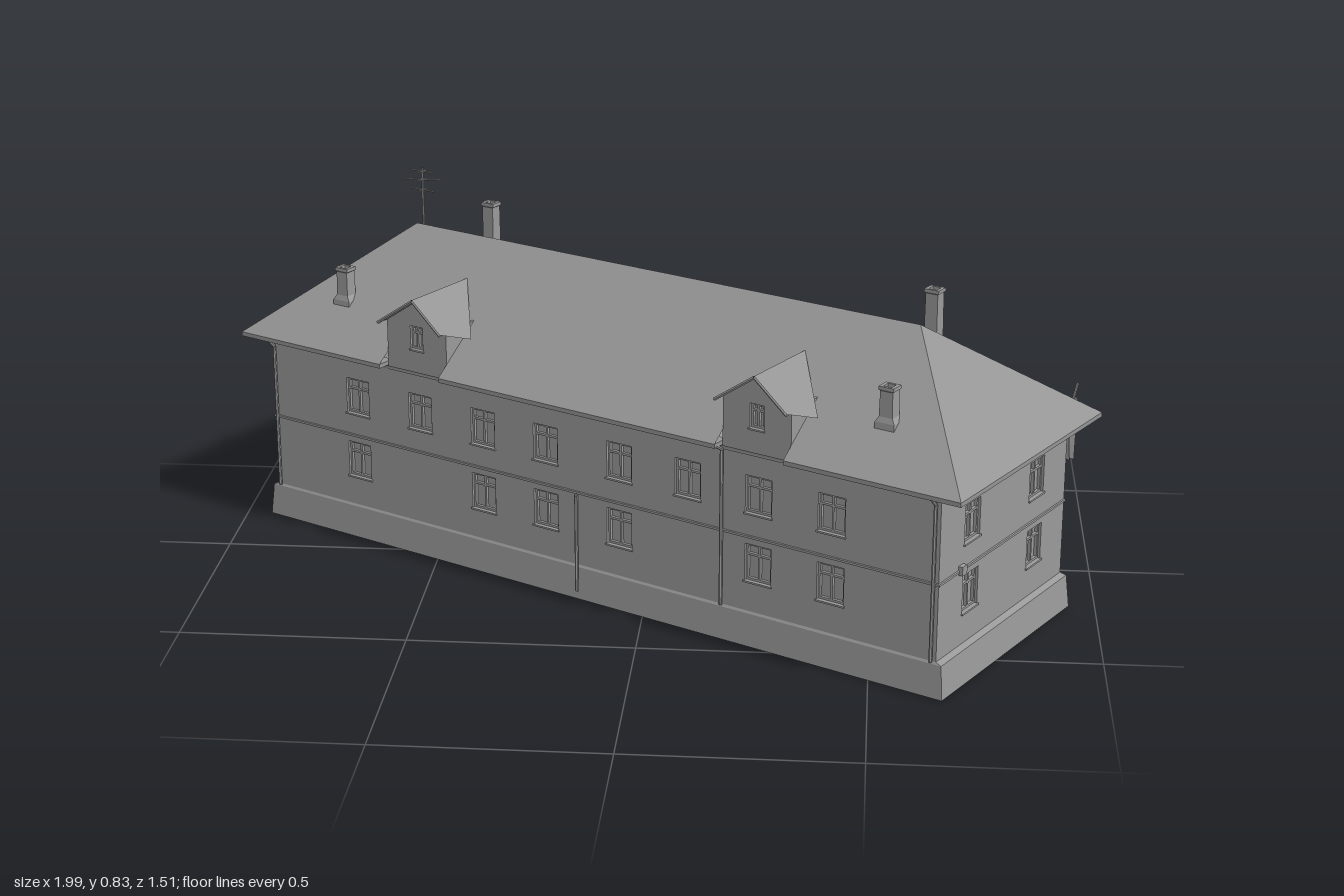
import * as THREE from 'three';

const grey = new THREE.MeshStandardMaterial({ color: 0x999999, side: THREE.DoubleSide, flatShading: true });
const roofGrey = new THREE.MeshStandardMaterial({ color: 0x949494, side: THREE.DoubleSide, flatShading: true });
const L = 0.897, W = 0.284;                 // wall half length and half depth
const EL = 0.96, EW = 0.32, RIDGE = 0.68;   // eaves and ridge half sizes
const EAVE = 0.46, RISE = 0.236;
const BAYS = [-0.456, 0.456];

function add(parent, name, geometry, x = 0, y = 0, z = 0, material = grey) {
  const m = new THREE.Mesh(geometry, material);
  m.name = name;
  m.position.set(x, y, z);
  parent.add(m);
  return m;
}
// Box given by its limits
function block(parent, name, x0, x1, y0, y1, z0, z1) {
  return add(parent, name, new THREE.BoxGeometry(x1 - x0, y1 - y0, z1 - z0), (x0 + x1) / 2, (y0 + y1) / 2, (z0 + z1) / 2);
}
// Round bar between two points
function rod(parent, name, a, b, r = 0.003) {
  const path = new THREE.LineCurve3(new THREE.Vector3(...a), new THREE.Vector3(...b));
  return add(parent, name, new THREE.TubeGeometry(path, 1, r, 6));
}
// Rectangular rings [halfX, halfZ, y] joined from bottom to top
function loft(rings) {
  const p = [], signs = [[1, 1], [1, -1], [-1, -1], [-1, 1]];
  for (let i = 0; i + 1 < rings.length; i++) {
    for (let k = 0; k < 4; k++) {
      const at = (ring, s) => [s[0] * ring[0], ring[2], s[1] * ring[1]];
      const s = signs[k], t = signs[(k + 1) % 4];
      const a = at(rings[i], s), b = at(rings[i], t), c = at(rings[i + 1], t), d = at(rings[i + 1], s);
      p.push(...a, ...b, ...c, ...a, ...c, ...d);
    }
  }
  const g = new THREE.BufferGeometry();
  g.setAttribute('position', new THREE.Float32BufferAttribute(p, 3));
  g.computeVertexNormals();
  return g;
}
const shapeOf = pts => new THREE.Shape(pts.map(p => new THREE.Vector2(...p)));
const rect = (x0, x1, y0, y1) => [[x0, y0], [x1, y0], [x1, y1], [x0, y1]];

// Roof plane from a plan outline [x, -z], lifted by a height rule
function sheet(parent, name, pts, height) {
  const g = new THREE.ShapeGeometry(shapeOf(pts)).rotateX(-Math.PI / 2);
  const p = g.attributes.position;
  for (let i = 0; i < p.count; i++) p.setY(i, height(p.getX(i), p.getZ(i)));
  g.computeVertexNormals();
  return add(parent, name, g, 0, 0, 0, roofGrey);
}

// Recessed window with casement bars, sill and optional hood
function windowUnit(parent, [x, y, w, h, hood]) {
  const g = new THREE.Group();
  g.name = 'window';
  g.position.set(x, y, 0);
  parent.add(g);
  const a = w / 2, b = h / 2, f = 0.005;
  block(g, 'glass', -a, a, -b, b, -0.015, -0.013);
  for (const s of [-1, 0, 1]) block(g, 'upright', s * (a - f / 2) - f / 2, s * (a - f / 2) + f / 2, -b, b, -0.013, -0.006);
  for (const v of [-b, b * 0.35, b - f]) block(g, 'crossbar', -a, a, v, v + f, -0.013, -0.006);
  block(g, 'sill', -a - 0.003, a + 0.003, -b - 0.004, -b, -0.006, 0.004);
  if (hood) {
    block(g, 'hood', -a - 0.01, a + 0.01, b + 0.008, b + 0.016, -0.006, 0.01);
    for (const s of [-1, 1]) block(g, 'surround', s * (a + 0.004) - 0.004, s * (a + 0.004) + 0.004, -b, b + 0.008, -0.002, 0.003);
  }
}
// Wall outline with window openings; its outer face lies on z = 0
function wall(parent, name, pts, windows, x, z, turn = 0) {
  const g = new THREE.Group();
  g.name = name;
  g.position.set(x, 0, z);
  g.rotation.y = turn;
  parent.add(g);
  const s = shapeOf(pts);
  for (const [wx, wy, w, h] of windows) {
    s.holes.push(new THREE.Path(rect(wx - w / 2, wx + w / 2, wy - h / 2, wy + h / 2).map(p => new THREE.Vector2(...p))));
  }
  add(g, 'masonry', new THREE.ExtrudeGeometry(s, { depth: 0.015, bevelEnabled: false }), 0, 0, -0.015);
  windows.forEach(o => windowUnit(g, o));
}

export function createModel() {
  const model = new THREE.Group();
  model.name = 'house';
  const h = new THREE.Group();
  h.name = 'building';
  h.rotation.y = -0.517;
  model.add(h);

  // Plinth, string course and cornice
  add(h, 'plinth', loft([[0.918, 0.292, 0], [0.911, 0.287, 0.075], [L, W, 0.08]]));
  add(h, 'stringCourse', loft([[L, W, 0.249], [L + 0.003, W + 0.003, 0.25], [L + 0.003, W + 0.003, 0.255], [L, W, 0.256]]));
  add(h, 'cornice', loft([[L, W, 0.438], [L + 0.008, W + 0.008, 0.45]]));

  // Outer walls with two rows of windows
  const up = 0.35, low = 0.193;
  const row = (xs, y, hood) => xs.map(x => [x, y, 0.066, 0.085, hood]);
  const side = rect(-L, L, 0.07, 0.45), end = rect(-W, W, 0.07, 0.45);
  const front = [...row([-0.64, -0.455, -0.275, -0.1, 0.1, 0.28, 0.46, 0.64], up), ...row([-0.64, -0.275, -0.1, 0.1, 0.46, 0.64], low)];
  const backX = [-0.82, -0.645, -0.28, -0.1, 0.1, 0.28, 0.645, 0.82];
  wall(h, 'frontWall', side, front, 0, W);
  wall(h, 'backWall', side, [...row(backX, up, true), ...row(backX, low)], 0, -W, Math.PI);
  for (const s of [-1, 1]) wall(h, 'endWall', end, [...row([-0.145, 0.145], up), ...row([-0.145, 0.145], low)], s * L, 0, s * Math.PI / 2);
  block(h, 'meterBox', L, L + 0.01, 0.245, 0.265, 0.18, 0.2);

  // Inner floors and partitions, open towards the ground
  for (const [a, b] of [[-0.88, -0.7], [-0.7, -0.53], [-0.38, -0.19], [-0.19, 0.21], [0.36, 0.7], [0.7, 0.88]]) {
    block(h, 'floor', a, b, 0.08, 0.085, 0.13, 0.27);
    block(h, 'innerWall', a, b, 0.08, 0.25, 0.125, 0.13);
    for (const x of [a, b]) block(h, 'partition', x - 0.003, x + 0.003, 0.08, 0.25, 0.1, 0.27);
  }
  block(h, 'ceiling', -0.88, 0.88, 0.25, 0.255, -0.27, 0.27);

  // Hipped roof; the front eaves break at the dormers
  const eaveLine = [[-EL, -EW]];
  for (const c of BAYS) eaveLine.push([c - 0.085, -EW], [c - 0.085, -0.288], [c + 0.085, -0.288], [c + 0.085, -EW]);
  eaveLine.push([EL, -EW]);
  const roofY = (x, z) => EAVE + RISE * Math.min((EW - Math.abs(z)) / EW, (EL - Math.abs(x)) / (EL - RIDGE));
  const eaves = shapeOf([...eaveLine, [EL, EW], [-EL, EW]]);
  eaves.holes.push(new THREE.Path(rect(-L + 0.01, L - 0.01, -W + 0.01, W - 0.01).map(p => new THREE.Vector2(...p))));
  add(h, 'eaves', new THREE.ExtrudeGeometry(eaves, { depth: 0.01, bevelEnabled: false }).rotateX(-Math.PI / 2), 0, 0.45, 0, roofGrey);
  sheet(h, 'frontRoof', [...eaveLine, [RIDGE, 0], [-RIDGE, 0]], roofY);
  sheet(h, 'backRoof', [[EL, EW], [-EL, EW], [-RIDGE, 0], [RIDGE, 0]], roofY);
  for (const s of [-1, 1]) sheet(h, 'hipRoof', [[s * EL, -EW], [s * EL, EW], [s * RIDGE, 0]], roofY);

  for (const c of BAYS) {
    // Gabled dormer, its roof widening towards the back
    const gable = [[-0.085, 0.44], [0.085, 0.44], [0.085, 0.56], [0, 0.617], [-0.085, 0.56]];
    wall(h, 'dormerFront', gable, [[0, 0.53, 0.035, 0.055]], c, 0.288);
    for (const s of [-1, 1]) {
      block(h, 'dormerCheek', c + s * 0.082 - 0.003, c + s * 0.082 + 0.003, 0.45, 0.56, 0.18, 0.28);
      sheet(h, 'dormerRoof', [[c, -0.3], [c + s * 0.09, -0.315], [c + s * 0.123, -0.245], [c, -0.098]], x => 0.624 - 0.085 * Math.abs(x - c) / 0.123);
      rod(h, 'dormerVerge', [c, 0.621, 0.3], [c + s * 0.09, 0.559, 0.315], 0.004);
    }

    // Stair bay with a capped roof
    wall(h, 'stairBayFront', rect(-0.075, 0.075, 0, 0.46), [[0, 0.34, 0.06, 0.15, true], [0, 0.09, 0.06, 0.13]], c, -0.33, Math.PI);
    for (const s of [-1, 1]) block(h, 'stairBaySide', c + s * 0.07 - 0.005, c + s * 0.07 + 0.005, 0, 0.46, -0.33, -0.28);
    block(h, 'stairBayCornice', c - 0.083, c + 0.083, 0.457, 0.475, -0.336, -0.29);
    block(h, 'stairBayRoof', c - 0.093, c + 0.093, 0.475, 0.486, -0.345, -0.284);

    // Entrance porch
    block(h, 'porchSide', c + 0.06, c + 0.07, 0, 0.178, -0.465, -0.33);
    block(h, 'porchSide', c - 0.07, c - 0.06, 0, 0.178, -0.425, -0.33);
    block(h, 'porchLowWall', c - 0.07, c - 0.02, 0, 0.06, -0.465, -0.425);
    block(h, 'porchStep', c - 0.06, c + 0.06, 0, 0.015, -0.45, -0.33);
    block(h, 'porchRoof', c - 0.074, c + 0.074, 0.176, 0.187, -0.468, -0.33);
  }

  // Chimneys: x, z, foot, top
  for (const [x, z, y0, y1] of [[-0.739, 0.196, 0.53, 0.627], [0.722, 0.199, 0.53, 0.627], [-0.615, -0.203, 0.53, 0.71], [0.602, -0.203, 0.53, 0.71]]) {
    const d = y1 - y0;
    add(h, 'chimney', loft([[0.024, 0.02, y0], [0.023, 0.019, y0 + d * 0.2], [0.016, 0.015, y0 + d * 0.32], [0.015, 0.014, y1 - 0.01],
      [0.018, 0.016, y1 - 0.008], [0.018, 0.016, y1], [0.01, 0.01, y1], [0.01, 0.01, y1 - 0.03], [0, 0, y1 - 0.03]]), x, 0, z);
  }

  // Aerial on the ridge end
  const ax = -0.672, az = -0.015;
  rod(h, 'aerialMast', [ax, 0.67, az], [ax, 0.83, az]);
  for (const [y, r, skew] of [[0.82, 0.035, 0], [0.8, 0.04, 0.02], [0.775, 0.035, 0]]) {
    rod(h, 'aerialBar', [ax - r, y, az + skew], [ax + r, y, az - skew], 0.002);
    rod(h, 'aerialBar', [ax, y, az - 0.015], [ax, y, az + 0.015], 0.002);
  }

  // Draped flags at the rear corners
  for (const s of [-1, 1]) {
    const x = s * 0.88;
    rod(h, 'flagPole', [x, 0.38, -W], [x, 0.5, -0.36]);
    const cloth = new THREE.PlaneGeometry(1, 1, 6, 4);
    const p = cloth.attributes.position;
    for (let i = 0; i < p.count; i++) {
      const t = p.getX(i), v = p.getY(i) + 0.5;
      p.setXYZ(i, x + 0.01 * Math.sin(t * 11), 0.33 + v * (0.13 + t * 0.05), -0.335 - t * (0.025 + 0.03 * v));
    }
    cloth.computeVertexNormals();
    add(h, 'flag', cloth);
  }

  // Downpipes
  const pipes = [[0.37, W + 0.006, 0.08, 0.44], [-0.01, W + 0.01, 0.02, 0.25]];
  for (const s of [-1, 1]) for (const t of [-1, 1]) pipes.push([s * (L - 0.01), t * (W + 0.006), 0.08, 0.43]);
  for (const [x, z, y0, y1] of pipes) {
    rod(h, 'downpipe', [x, y0, z], [x, y1, z], 0.004);
    if (y1 > 0.3) rod(h, 'downpipeElbow', [x, y1, z], [x, 0.455, Math.sign(z) * (EW - 0.005)], 0.004);
  }
  return model;
}
